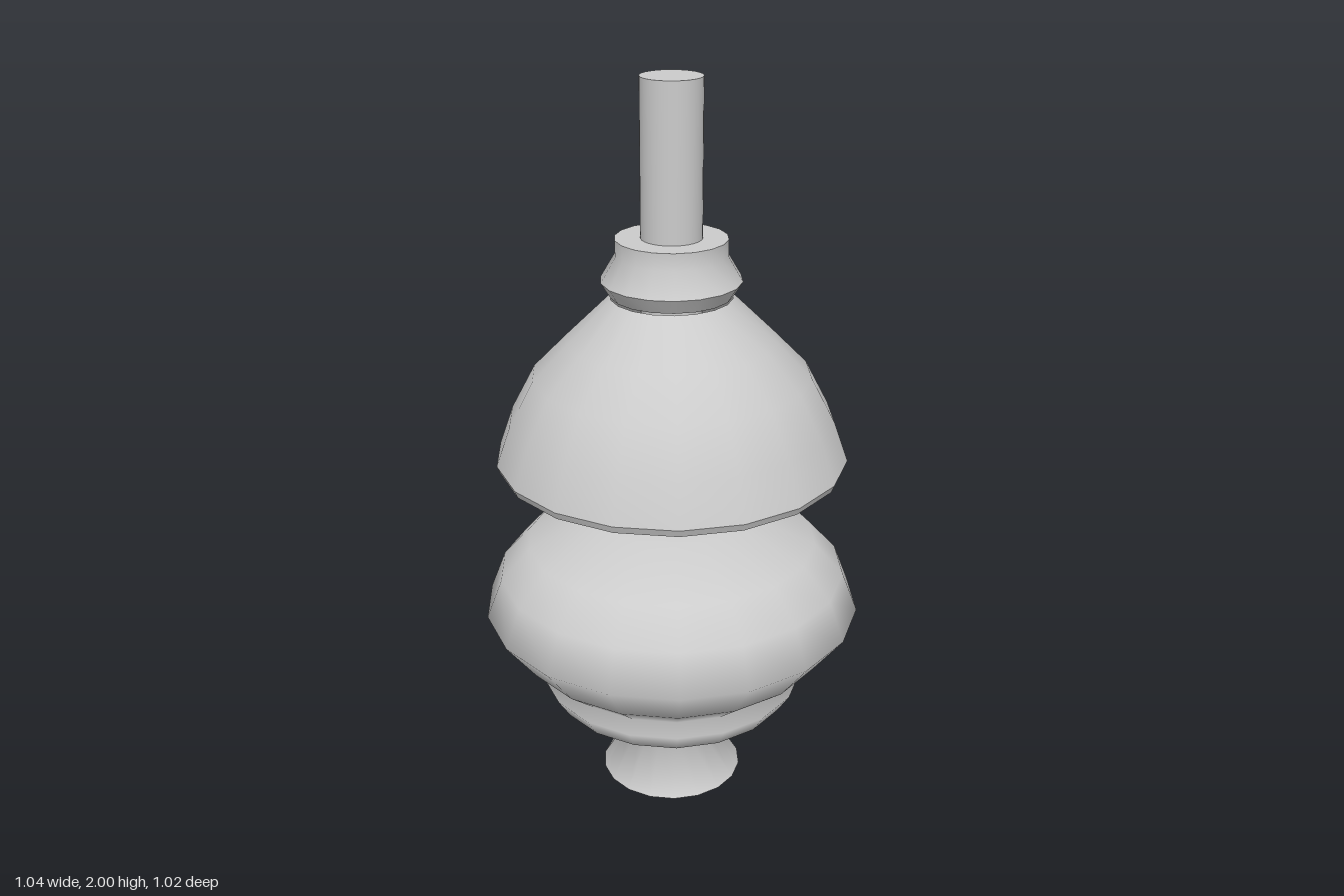
import * as THREE from 'three';
import { toCreasedNormals } from 'three/addons/utils/BufferGeometryUtils.js';

const SIDES = 18;

export function createModel() {
  const model = new THREE.Group();
  model.name = 'lamp';
  const solid = new THREE.MeshStandardMaterial({ color: 0xcccccc });
  const open = new THREE.MeshStandardMaterial({ color: 0xcccccc, side: THREE.DoubleSide });

  // Turned part from [radius, height] pairs, with a corner pointing along x
  const turned = (name, profile, crease, material) => {
    const points = profile.map(([r, y]) => new THREE.Vector2(r, y));
    const geometry = new THREE.LatheGeometry(points, SIDES, Math.PI / 2);
    const mesh = new THREE.Mesh(toCreasedNormals(geometry, crease), material);
    mesh.name = name;
    model.add(mesh);
  };

  // Flared foot, ridge and round body in one smooth turning
  turned('base', [
    [0, 0], [0.2, 0], [0.1, 0.165], [0.21, 0.23], [0.335, 0.27], [0.37, 0.325],
    [0.345, 0.36], [0.434, 0.434], [0.52, 0.547], [0.477, 0.657],
    [0.397, 0.745], [0.21, 0.82], [0, 0.82],
  ], 1.75, solid);

  // Open dome with a narrow bevelled rim
  turned('shade', [
    [0.465, 0.98], [0.473, 1.0], [0.435, 1.107], [0.37, 1.23],
    [0.277, 1.325], [0.16, 1.44],
  ], 0.7, open);

  // Collar closing the top of the shade
  turned('collar', [
    [0.16, 1.445], [0.185, 1.485], [0.147, 1.55], [0.147, 1.595], [0, 1.595],
  ], 0.7, open);

  // Stem running from the body through the shade
  const stem = new THREE.Mesh(new THREE.CylinderGeometry(0.08, 0.08, 1.2, 32), solid);
  stem.name = 'stem';
  stem.position.y = 1.4;
  model.add(stem);

  return model;
}
